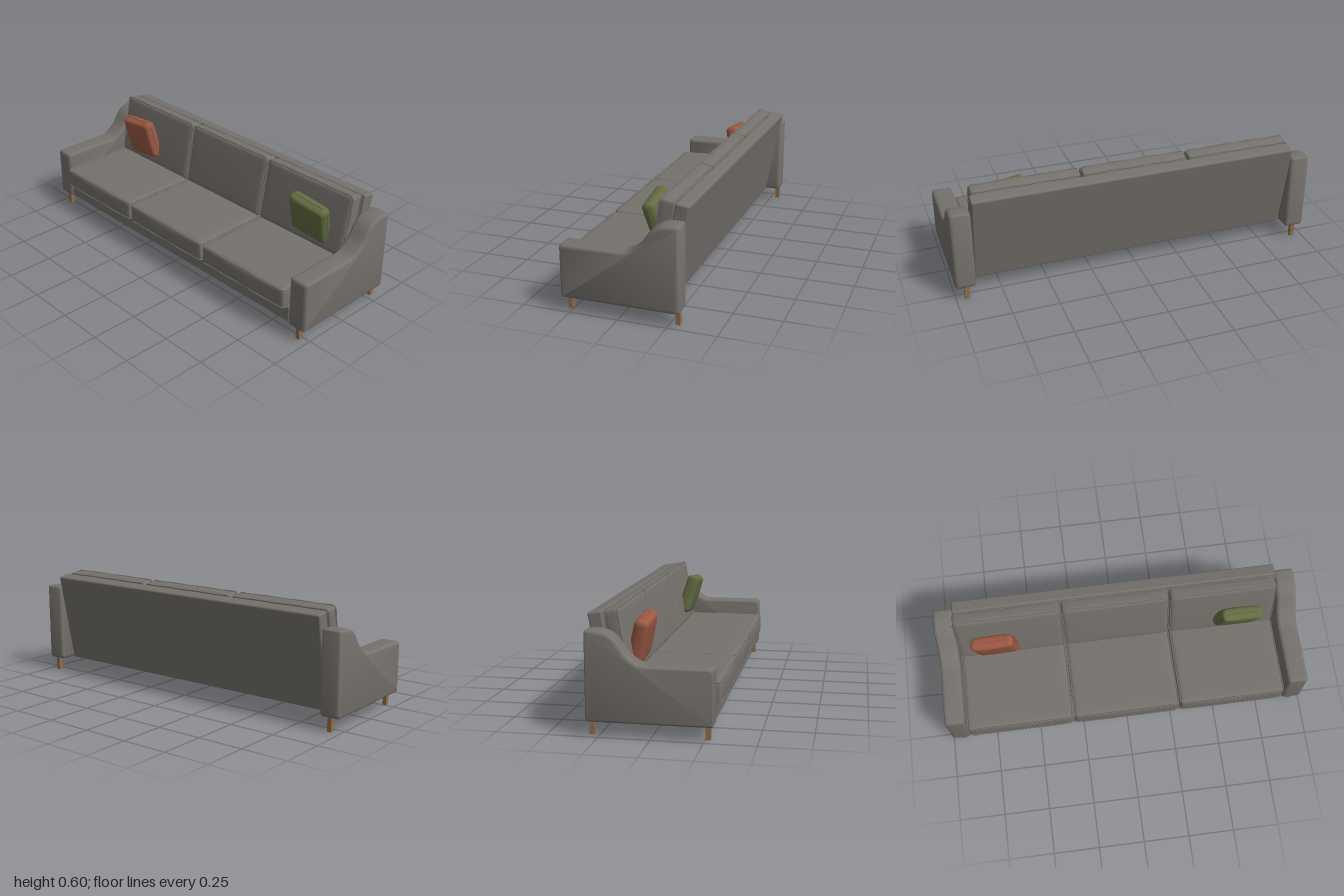
import * as THREE from 'three';
import { mergeVertices, toCreasedNormals } from 'three/addons/utils/BufferGeometryUtils.js';
import { RoundedBoxGeometry } from 'three/addons/geometries/RoundedBoxGeometry.js';

const material = (name, color) => {
  const m = new THREE.MeshStandardMaterial({ color });
  m.name = name;
  return m;
};

// Soft slab facing +z: rounded edges, with slightly swollen faces and sides
function cushionGeometry(w, h, t, r, puff, sidePuff) {
  const g = new THREE.BoxGeometry(2, 2, 2, 22, 22, 10);
  g.deleteAttribute('uv');
  g.deleteAttribute('normal');
  const half = new THREE.Vector3(w / 2, h / 2, t / 2);
  const inner = half.clone().subScalar(r);
  const low = inner.clone().negate();
  const p = new THREE.Vector3(), q = new THREE.Vector3(), d = new THREE.Vector3();
  const crowd = (v) => Math.sign(v) * (1 - Math.pow(1 - Math.abs(v), 1.7));
  const pos = g.attributes.position;
  for (let i = 0; i < pos.count; i++) {
    p.fromBufferAttribute(pos, i);
    p.set(crowd(p.x), crowd(p.y), crowd(p.z));
    const [u, v, s] = p.toArray();
    p.multiply(half);
    q.copy(p).clamp(low, inner);
    d.subVectors(p, q).setLength(r);
    p.addVectors(q, d);
    const a = 1 - u * u, b = 1 - v * v, c = 1 - s * s;
    p.x += u * sidePuff * b * c;
    p.y += v * sidePuff * a * c;
    p.z += s * puff * Math.sqrt(a * b);
    pos.setXYZ(i, p.x, p.y, p.z);
  }
  const welded = mergeVertices(g, 1e-5);
  welded.computeVertexNormals();
  return welded;
}

// Slightly wavy closed seam following a rounded rectangle
function seamGeometry(w, h, corner, z, radius, wave) {
  const x = w / 2, y = h / 2, c = corner;
  const shape = new THREE.Shape();
  shape.moveTo(-x + c, -y).lineTo(x - c, -y).quadraticCurveTo(x, -y, x, -y + c);
  shape.lineTo(x, y - c).quadraticCurveTo(x, y, x - c, y);
  shape.lineTo(-x + c, y).quadraticCurveTo(-x, y, -x, y - c);
  shape.lineTo(-x, -y + c).quadraticCurveTo(-x, -y, -x + c, -y);
  const points = shape.getSpacedPoints(72).slice(0, -1)
    .map((p, i) => new THREE.Vector3(p.x, p.y, z + wave * Math.sin(i * Math.PI / 4)));
  return new THREE.TubeGeometry(new THREE.CatmullRomCurve3(points, true), 144, radius, 6, true);
}

export function createModel() {
  const sofa = new THREE.Group();
  sofa.name = 'sofa';
  const fabric = material('grey fabric', 0x75716c);
  const wood = material('oak wood', 0x8f6c49);
  const rust = material('rust fabric', 0x9a5844);
  const olive = material('olive fabric', 0x636c42);

  const add = (parent, name, geometry, mat, x = 0, y = 0, z = 0) => {
    const mesh = new THREE.Mesh(geometry, mat);
    mesh.name = name;
    mesh.position.set(x, y, z);
    parent.add(mesh);
    return mesh;
  };

  // Base and reclined back panel
  add(sofa, 'base', new RoundedBoxGeometry(1.78, 0.088, 0.515, 3, 0.007), fabric, 0, 0.121, 0.032);
  const back = add(sofa, 'backPanel', new RoundedBoxGeometry(1.77, 0.508, 0.07, 3, 0.01), fabric, 0, 0.327, -0.241);
  back.rotation.x = -0.19;

  // Swept arm profile, drawn with u = -z
  const arm = new THREE.Shape();
  arm.moveTo(-0.283, 0.071).lineTo(0.29, 0.071).quadraticCurveTo(0.312, 0.071, 0.312, 0.093);
  arm.lineTo(0.312, 0.492).quadraticCurveTo(0.312, 0.508, 0.296, 0.508);
  arm.lineTo(0.268, 0.508);
  arm.bezierCurveTo(0.155, 0.508, 0.155, 0.432, 0.105, 0.39);
  arm.bezierCurveTo(0.07, 0.36, 0.05, 0.348, 0.015, 0.348);
  arm.lineTo(-0.277, 0.348).quadraticCurveTo(-0.297, 0.348, -0.297, 0.328);
  arm.lineTo(-0.297, 0.085).quadraticCurveTo(-0.297, 0.071, -0.283, 0.071);
  const bevel = 0.018;
  const extruded = new THREE.ExtrudeGeometry(arm, {
    depth: 0.11 - 2 * bevel, bevelSize: bevel, bevelThickness: bevel,
    bevelOffset: -bevel, bevelSegments: 5, curveSegments: 14,
  });
  extruded.rotateY(Math.PI / 2);
  extruded.translate(-0.055 + bevel, 0, 0);
  const armGeometry = toCreasedNormals(extruded, 0.7);

  // Arms and square legs
  const legGeometry = new THREE.BoxGeometry(0.022, 0.076, 0.024);
  for (const [side, sx] of [['left', 1], ['right', -1]]) {
    add(sofa, side + 'Arm', armGeometry, fabric, sx * 0.945, 0, 0);
    add(sofa, side + 'FrontLeg', legGeometry, wood, sx * 0.943, 0.038, 0.267);
    add(sofa, side + 'BackLeg', legGeometry, wood, sx * 0.943, 0.038, -0.29);
  }

  // Three seat cushions and three back cushions, each with two seams
  const seat = cushionGeometry(0.578, 0.49, 0.11, 0.018, 0.005, 0.006);
  const rest = cushionGeometry(0.578, 0.34, 0.075, 0.016, 0.006, 0.004);
  const seatSeam = seamGeometry(0.578, 0.488, 0.02, 0.049, 0.004, 0.002);
  const restSeam = seamGeometry(0.578, 0.338, 0.02, 0.032, 0.004, 0.002);
  const cushion = (name, body, seam, offset, x, y, z, tilt) => {
    const group = new THREE.Group();
    group.name = name;
    group.position.set(x, y, z);
    group.rotation.x = tilt;
    add(group, 'padding', body, fabric);
    add(group, 'frontSeam', seam, fabric);
    add(group, 'backSeam', seam, fabric, 0, 0, -2 * offset);
    sofa.add(group);
  };
  for (let i = 0; i < 3; i++) {
    const x = -0.597 + i * 0.59;
    cushion('seatCushion', seat, seatSeam, 0.049, x, 0.211, 0.072, -Math.PI / 2);
    cushion('backCushion', rest, restSeam, 0.032, x, 0.423, -0.179, -0.19);
  }

  // Throw pillows
  const pillowBody = cushionGeometry(0.236, 0.236, 0.066, 0.028, 0.008, -0.003);
  const pillowSeam = seamGeometry(0.232, 0.232, 0.035, 0, 0.003, 0.002);
  const pillows = [
    ['rightPillow', rust, -0.68, 0.42, -0.102, 0.22, 0.11],
    ['leftPillow', olive, 0.663, 0.425, -0.1, 0.29, -0.13],
  ];
  for (const [name, mat, x, y, z, lean, roll] of pillows) {
    const group = new THREE.Group();
    group.name = name;
    group.position.set(x, y, z);
    group.rotation.set(lean, 0, roll);
    add(group, 'padding', pillowBody, mat);
    add(group, 'seam', pillowSeam, mat);
    sofa.add(group);
  }
  return sofa;
}
